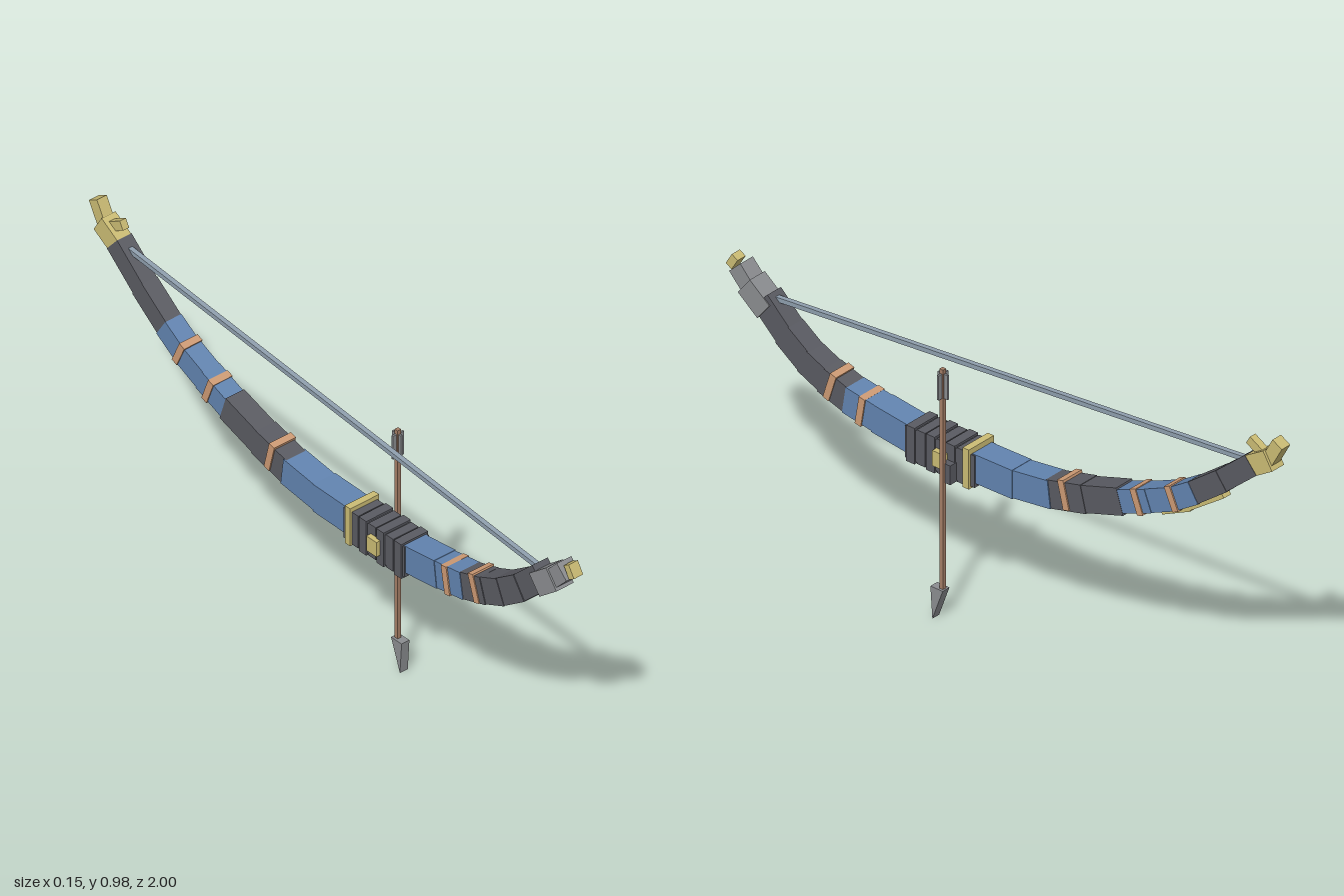
import * as THREE from 'three';

const mat = (name, color, extra = {}) => {
  const m = new THREE.MeshStandardMaterial({ color, ...extra });
  m.name = name;
  return m;
};

export function createModel() {
  const dark = mat('darkGrey', 0x5a5b62);
  const blue = mat('steelBlue', 0x6284b0);
  const gold = mat('paleGold', 0xcbbc74);
  const copper = mat('copper', 0xcd9a74);
  const grey = mat('lightGrey', 0x8b8d90);
  const wood = mat('wood', 0xa67f67);
  const cord = mat('cord', 0x8f9fae);

  const model = new THREE.Group();
  model.name = 'bowAndArrow';
  const CX = -0.017; // middle plane of the bow

  const box = (name, m, w, h, d, x, y, z, rx = 0) => {
    const mesh = new THREE.Mesh(new THREE.BoxGeometry(w, h, d), m);
    mesh.name = name;
    mesh.position.set(x, y, z);
    mesh.rotation.x = rx;
    model.add(mesh);
    return mesh;
  };
  // Box running between two [z, y] points in the bow's plane
  const bar = (name, m, a, b, w, h, extra = 0) => {
    const dz = b[0] - a[0], dy = b[1] - a[1];
    return box(name, m, w, h, Math.hypot(dz, dy) + extra, CX,
      (a[1] + b[1]) / 2, (a[0] + b[0]) / 2, -Math.atan2(dy, dz));
  };
  // Chain of boxes: each row is start z, start y, width, height, material
  const limb = (name, rows) => {
    for (let i = 0; i < rows.length - 1; i++) {
      const [z, y, w, h, m] = rows[i];
      bar(name, m, [z, y], rows[i + 1], w, h, 0.012);
    }
  };

  // Limbs, from grip to tip
  limb('frontLimb', [
    [0.33, 0.493, 0.078, 0.088, blue], [0.45, 0.508, 0.074, 0.085, blue],
    [0.555, 0.525, 0.07, 0.083, dark], [0.64, 0.552, 0.065, 0.081, dark],
    [0.71, 0.583, 0.061, 0.08, dark], [0.785, 0.635, 0.056, 0.078, dark],
    [0.865, 0.71],
  ]);
  limb('backLimb', [
    [0.09, 0.494, 0.08, 0.09, blue], [-0.04, 0.496, 0.076, 0.086, blue],
    [-0.17, 0.513, 0.07, 0.086, dark], [-0.29, 0.543, 0.066, 0.082, dark],
    [-0.42, 0.585, 0.064, 0.07, blue], [-0.52, 0.625, 0.06, 0.07, blue],
    [-0.61, 0.665, 0.058, 0.068, blue], [-0.68, 0.71, 0.055, 0.066, dark],
    [-0.78, 0.785, 0.052, 0.064, dark], [-0.885, 0.875],
  ]);

  // Copper wraps: z, y, slope, width, height
  for (const [z, y, s, w, h] of [
    [0.5, 0.514, 0.17, 0.082, 0.09], [0.612, 0.546, 0.32, 0.076, 0.088],
    [-0.228, 0.533, -0.25, 0.078, 0.09], [-0.487, 0.61, -0.38, 0.07, 0.078],
    [-0.61, 0.667, -0.45, 0.066, 0.076],
  ]) box('wrapBand', copper, w, h, 0.022, CX, y, z, -Math.atan(s));

  // Ribbed grip
  box('grip', dark, 0.088, 0.1, 0.25, CX, 0.487, 0.21);
  for (let i = 0; i < 6; i++) {
    const d = i % 2 ? 0.006 : 0;
    box('gripRib', dark, 0.097 - d, 0.113 - d, 0.03, CX, 0.487, 0.312 - i * 0.036);
  }
  box('gripCollar', gold, 0.104, 0.124, 0.022, CX, 0.492, 0.11);
  box('leftGripPlate', gold, 0.022, 0.048, 0.042, 0.035, 0.487, 0.2);
  box('rightGripPlate', gold, 0.022, 0.048, 0.042, -0.068, 0.487, 0.22);
  box('arrowRest', dark, 0.03, 0.06, 0.03, 0.038, 0.462, 0.165);

  // Gold plates on the underside of the back limb
  for (const [a, b] of [
    [[-0.04, 0.452], [-0.165, 0.467]], [[-0.305, 0.506], [-0.42, 0.543]],
    [[-0.56, 0.6], [-0.66, 0.648]], [[-0.655, 0.648], [-0.78, 0.736]],
  ]) bar('limbPlate', gold, a, b, 0.03, 0.016);

  // Front tip
  bar('frontTipBase', grey, [0.855, 0.685], [0.925, 0.74], 0.062, 0.07);
  bar('frontTipBlock', grey, [0.905, 0.722], [0.962, 0.782], 0.052, 0.055);
  box('frontTipCap', gold, 0.033, 0.042, 0.024, CX, 0.788, 0.981, -0.55);

  // Back tip with hook
  bar('backTipBase', gold, [-0.88, 0.872], [-0.95, 0.915], 0.05, 0.062);
  bar('backTipHorn', gold, [-0.935, 0.897], [-0.978, 0.975], 0.035, 0.038);
  bar('backTipHook', gold, [-0.868, 0.945], [-0.912, 0.92], 0.022, 0.028);

  // Bowstring
  bar('bowstring', cord, [0.87, 0.721], [-0.95, 0.884], 0.015, 0.014);

  // Arrow
  const AX = 0.055, AZ = 0.175;
  box('arrowShaft', wood, 0.013, 0.69, 0.013, AX, 0.445, AZ);
  box('fletchingWide', grey, 0.04, 0.077, 0.006, AX, 0.738, AZ);
  box('fletchingDeep', grey, 0.006, 0.077, 0.036, AX, 0.738, AZ - 0.002);

  // Wedge-shaped arrowhead, extruded across x
  const head = new THREE.Shape([[0.2, 0], [0.207, 0.1], [0.163, 0.1]]
    .map(([z, y]) => new THREE.Vector2(-z, y)));
  const headGeo = new THREE.ExtrudeGeometry(head, { depth: 0.028, bevelEnabled: false });
  headGeo.rotateY(Math.PI / 2);
  const headMesh = new THREE.Mesh(headGeo, grey);
  headMesh.name = 'arrowhead';
  headMesh.position.x = AX - 0.014;
  model.add(headMesh);

  return model;
}
